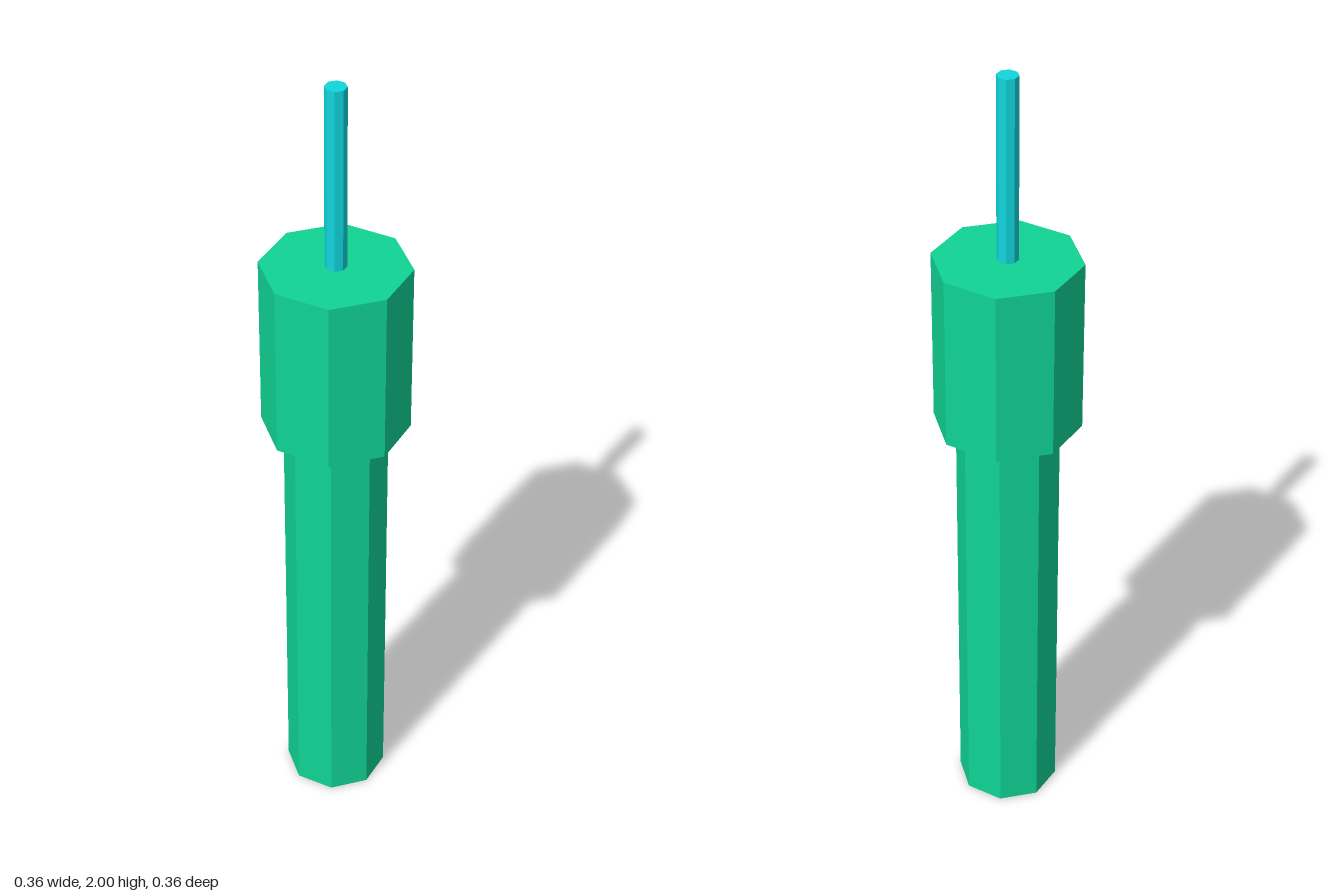
import * as THREE from 'three';

const SIDES = 8;

export function createModel() {
  const model = new THREE.Group();
  model.name = 'handledTool';

  const green = new THREE.MeshStandardMaterial({ color: 0x10d494, flatShading: true, side: THREE.DoubleSide });
  green.name = 'green';
  const cyan = new THREE.MeshStandardMaterial({ color: 0x10d6dc, flatShading: true });
  cyan.name = 'cyan';

  // Revolve a [radius, height] profile into an eight-sided faceted shell
  const lathe = (name, profile, material) => {
    const points = profile.map(([r, y]) => new THREE.Vector2(r, y));
    const mesh = new THREE.Mesh(new THREE.LatheGeometry(points, SIDES), material);
    mesh.name = name;
    model.add(mesh);
  };

  // Hollow handle, open at the bottom
  lathe('handle', [[0.125, 0], [0.125, 1.08]], green);

  // Wider head with a bevelled underside and flat top
  lathe('head', [[0.125, 1.08], [0.178, 1.1], [0.178, 1.54], [0, 1.54]], green);

  // Thin rod with a closed tip
  lathe('rod', [[0.026, 1.54], [0.026, 2], [0, 2]], cyan);

  return model;
}
